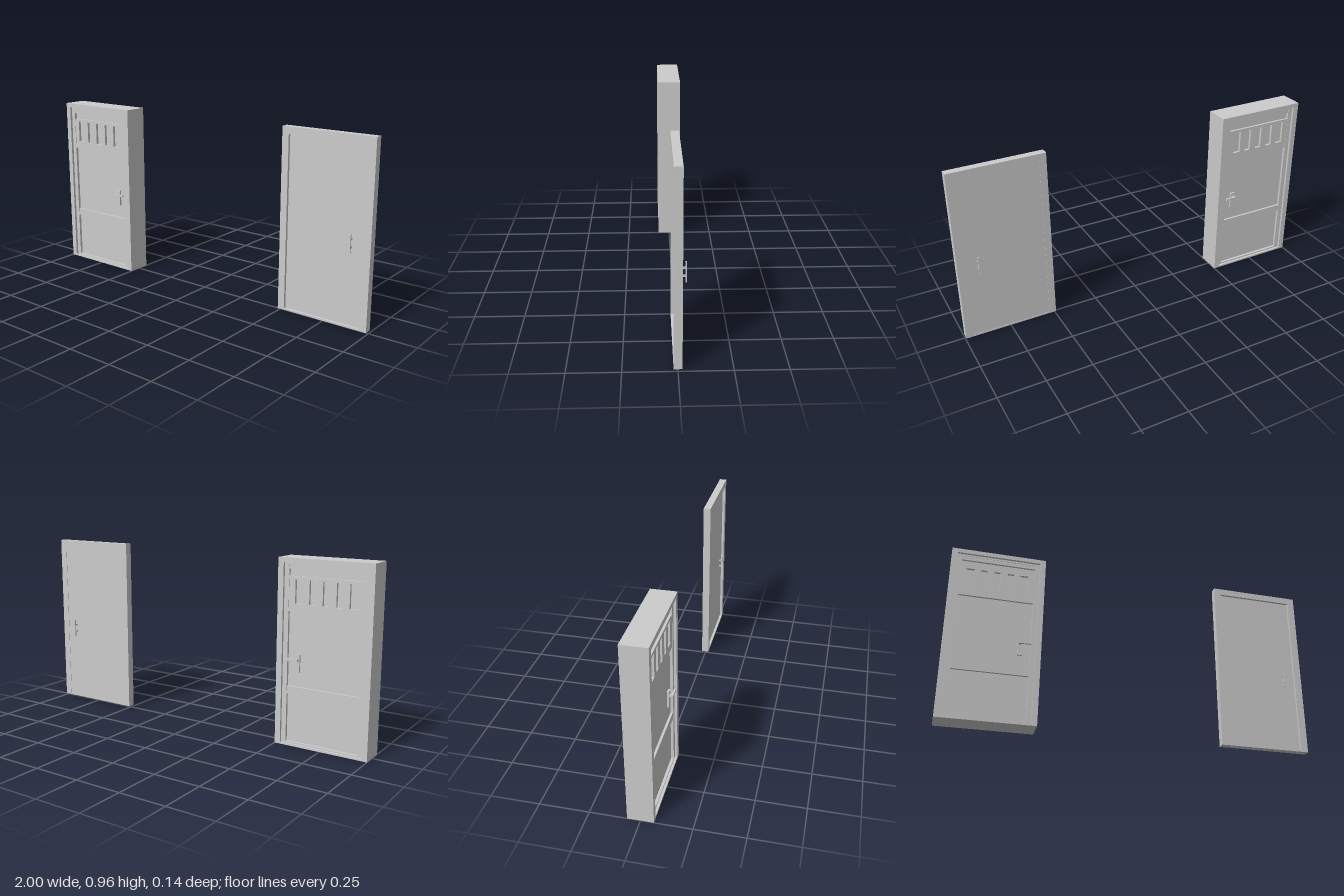
import * as THREE from 'three';

const material = new THREE.MeshStandardMaterial({ color: 0xcccccc, flatShading: true });

function addMesh(parent, name, geometry) {
  const mesh = new THREE.Mesh(geometry, material);
  mesh.name = name;
  parent.add(mesh);
  return mesh;
}

// Box given by its limits on each axis
function box(parent, name, [x0, x1], [y0, y1], [z0, z1]) {
  const mesh = addMesh(parent, name, new THREE.BoxGeometry(x1 - x0, y1 - y0, z1 - z0));
  mesh.position.set((x0 + x1) / 2, (y0 + y1) / 2, (z0 + z1) / 2);
  return mesh;
}

function rectangle(Type, [x0, x1], [y0, y1]) {
  return new Type([[x0, y0], [x1, y0], [x1, y1], [x0, y1]].map(([x, y]) => new THREE.Vector2(x, y)));
}

// Rectangular plate pierced by rectangular holes
function plate(parent, name, xs, ys, [z0, z1], holes) {
  const shape = rectangle(THREE.Shape, xs, ys);
  shape.holes = holes.map(([hx, hy]) => rectangle(THREE.Path, hx, hy));
  const geometry = new THREE.ExtrudeGeometry(shape, { depth: z1 - z0, bevelEnabled: false });
  geometry.translate(0, 0, z0);
  return addMesh(parent, name, geometry);
}

function buildPanelledDoor() {
  const door = new THREE.Group();
  door.name = 'panelledDoor';

  // Stepped frame: outer casing and inner stop
  plate(door, 'outerFrame', [-1, -0.5], [0.003, 0.955], [-0.065, 0.065],
    [[[-0.97, -0.53], [0.012, 0.932]]]);
  plate(door, 'innerFrame', [-0.97, -0.53], [0.012, 0.932], [-0.052, 0.052],
    [[[-0.945, -0.555], [0.02, 0.922]]]);

  // Recessed lower, middle and top panels
  const inside = [-0.945, -0.555];
  box(door, 'lowerPanel', inside, [0.02, 0.27], [-0.038, 0.038]);
  box(door, 'middlePanel', inside, [0.31, 0.69], [-0.038, 0.038]);
  box(door, 'topPanel', inside, [0.865, 0.9], [-0.038, 0.038]);

  // Raised rails
  box(door, 'middleRail', inside, [0.27, 0.31], [-0.05, 0.05]);
  box(door, 'topRail', inside, [0.9, 0.922], [-0.05, 0.05]);

  // Upper rail with five slots and a thin pane behind them
  const slots = [-0.895, -0.824, -0.753, -0.682, -0.61].map(
    (x, i) => [[x - (i % 4 ? 0.017 : 0.021), x + (i % 4 ? 0.017 : 0.021)], [0.73, 0.85]]);
  plate(door, 'windowRail', inside, [0.69, 0.865], [-0.05, 0.05], slots);
  box(door, 'windowPane', [-0.93, -0.57], [0.71, 0.86], [-0.036, 0.036]);

  // Lever handles on both faces
  for (const side of [1, -1]) {
    const handle = new THREE.Group();
    handle.name = side > 0 ? 'frontHandle' : 'backHandle';
    box(handle, 'handlePlate', [-0.62, -0.594], [0.385, 0.475], [0.038, 0.048]);
    box(handle, 'handleSpindle', [-0.615, -0.603], [0.444, 0.456], [0.048, 0.06]);
    box(handle, 'handleLever', [-0.617, -0.555], [0.444, 0.456], [0.058, 0.068]);
    if (side < 0) handle.children.forEach((part) => { part.position.z *= -1; });
    door.add(handle);
  }
  return door;
}

function buildPlainDoor() {
  const door = new THREE.Group();
  door.name = 'plainDoor';
  plate(door, 'doorFrame', [0.496, 0.997], [0.012, 0.963], [-0.02, 0.02],
    [[[0.533, 0.957], [0.021, 0.927]]]);
  box(door, 'doorLeaf', [0.533, 0.957], [0.021, 0.927], [-0.018, 0.006]);

  // Pull bars on two posts, one on each face
  for (const [name, bar, post] of [
    ['frontPull', [0.021, 0.028], [0.006, 0.022]],
    ['backPull', [-0.042, -0.035], [-0.036, -0.018]],
  ]) {
    const pull = new THREE.Group();
    pull.name = name;
    box(pull, 'pullBar', [0.886, 0.895], [0.39, 0.49], bar);
    for (const y of [0.421, 0.46]) box(pull, 'pullPost', [0.887, 0.894], [y - 0.004, y + 0.004], post);
    door.add(pull);
  }
  return door;
}

export function createModel() {
  const model = new THREE.Group();
  model.name = 'doorPair';
  model.add(buildPanelledDoor(), buildPlainDoor());
  return model;
}
